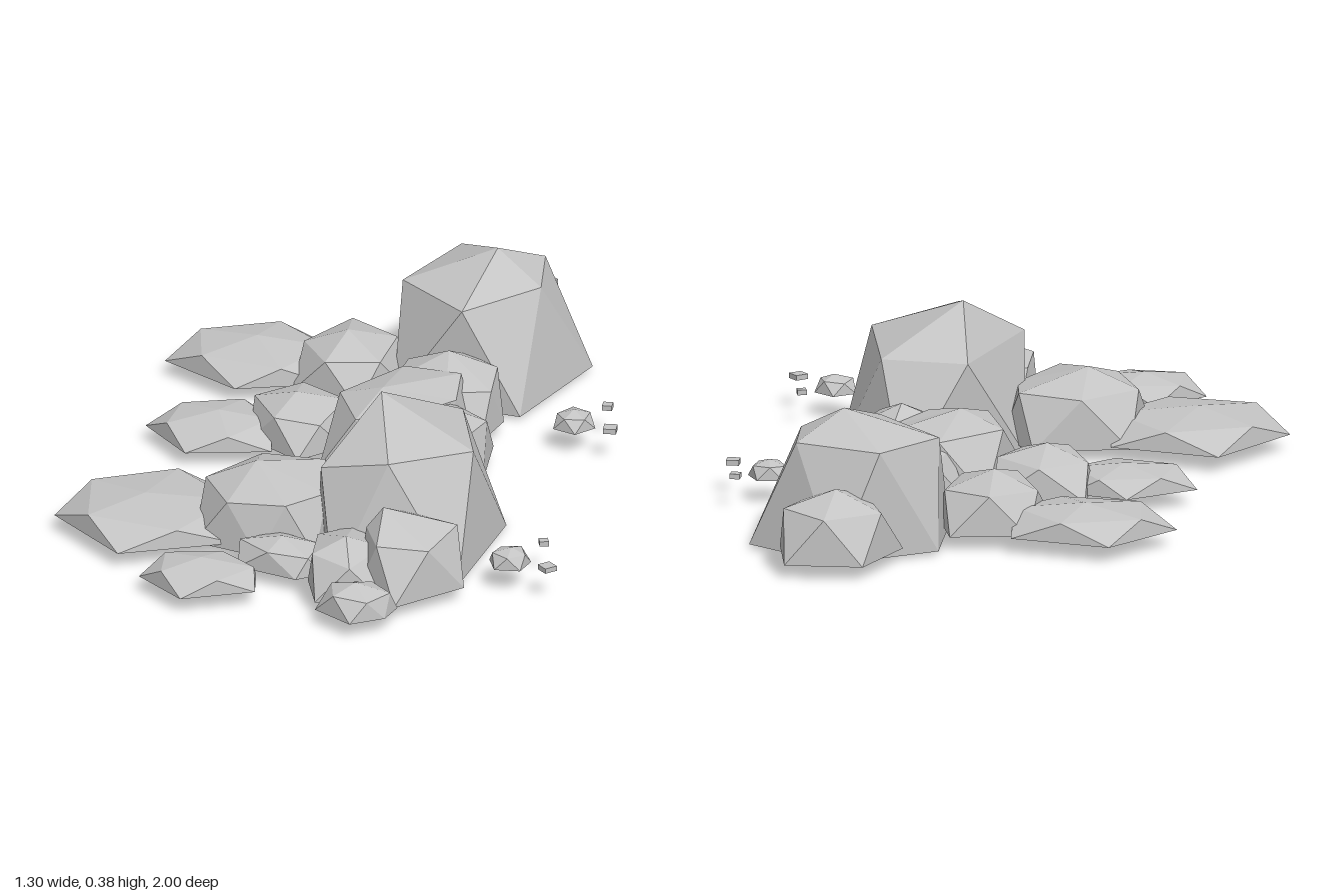
import * as THREE from 'three';

const stone = new THREE.MeshStandardMaterial({ color: 0xc4c4c4, side: THREE.DoubleSide });
stone.name = 'light grey stone';

// Shoulder ring: one point above the middle of each outline edge, slightly uneven in height
function shoulderRing(outline, y0, top, height) {
  const n = outline.length;
  const cx = outline.reduce((s, p) => s + p[0], 0) / n;
  const cz = outline.reduce((s, p) => s + p[1], 0) / n;
  return outline.map(([x, z], i) => {
    const [nx, nz] = outline[(i + 1) % n];
    const rise = height + 0.05 * Math.sin(i * 2.4);
    return [cx + ((x + nx) / 2 - cx) * 0.97, y0 + (top - y0) * rise, cz + ((z + nz) / 2 - cz) * 0.97];
  });
}

// Open-bottomed faceted rock: ground outline [x, z] running from +x towards +z, a shoulder ring and a peak.
function rock(name, { y0 = 0.035, top, peak, height = 0.7, outline, shoulders = shoulderRing(outline, y0, top, height) }) {
  const n = outline.length;
  const base = outline.map(([x, z]) => new THREE.Vector3(x, y0, z));
  const upper = shoulders.map((p) => new THREE.Vector3(...p));
  const tip = new THREE.Vector3(peak[0], top, peak[1]);
  const points = [];
  for (let i = 0; i < n; i++) {
    const j = (i + 1) % n;
    points.push(base[i], upper[i], base[j], base[j], upper[i], upper[j], upper[i], tip, upper[j]);
  }
  const geometry = new THREE.BufferGeometry().setFromPoints(points);
  geometry.computeVertexNormals();
  const mesh = new THREE.Mesh(geometry, stone);
  mesh.name = name;
  return mesh;
}

// Regular five-sided outline for small stones
function pentagon(x, z, r, turn) {
  return Array.from({ length: 5 }, (_, i) => {
    const a = turn + (i / 5) * Math.PI * 2;
    return [x + r * Math.cos(a), z + r * Math.sin(a)];
  });
}

const rocks = {
  // Main ridge, front to back
  frontTipRock: { y0: 0.04, top: 0.115, peak: [0.18, 0.91], outline: [[0.14, 0.81], [0.28, 0.88], [0.26, 0.95], [0.18, 1.0], [0.08, 0.925]] },
  frontLowRock: { top: 0.17, peak: [0.13, 0.76], outline: [[0.05, 0.59], [0.2, 0.61], [0.24, 0.84], [0.07, 0.87], [0.03, 0.74]] },
  frontSideRock: {
    top: 0.22, peak: [0.21, 0.68], height: 0.72,
    outline: [[0.17, 0.59], [0.37, 0.58], [0.42, 0.72], [0.27, 0.87], [0.16, 0.78]],
  },
  frontBoulder: {
    y0: 0, top: 0.38, peak: [0.146, 0.34],
    outline: [[0.445, 0.25], [0.39, 0.63], [0.08, 0.67], [-0.02, 0.3], [0.24, 0.02]],
    shoulders: [[0.395, 0.28, 0.44], [0.21, 0.305, 0.61], [0.03, 0.257, 0.55], [0.1, 0.267, 0.15], [0.32, 0.267, 0.16]],
  },
  middleSmallRock: { y0: 0.04, top: 0.12, peak: [0.07, 0.11], outline: pentagon(0.07, 0.1, 0.105, 0.4) },
  middleSideRock: { top: 0.2, peak: [0.24, 0.0], outline: [[0.345, -0.14], [0.355, 0.07], [0.27, 0.13], [0.09, 0.11], [0.15, -0.12]] },
  middleRock: {
    top: 0.21, peak: [0.08, -0.06], height: 0.8,
    outline: [[-0.02, -0.26], [0.21, -0.3], [0.29, -0.19], [0.23, -0.03], [0.12, 0.08], [-0.06, 0.06]],
  },
  ridgeRock: {
    top: 0.2, peak: [0.2, -0.33],
    outline: [[0.16, -0.45], [0.3, -0.41], [0.345, -0.29], [0.31, -0.16], [0.13, -0.17], [0.01, -0.32]],
  },
  backBoulder: {
    y0: 0.01, top: 0.35, peak: [0.27, -0.635],
    outline: [[0.495, -0.715], [0.37, -0.38], [0.04, -0.44], [0.02, -0.7], [0.25, -0.87]],
    shoulders: [[0.39, 0.28, -0.57], [0.22, 0.275, -0.4], [0.04, 0.27, -0.58], [0.15, 0.28, -0.8], [0.37, 0.285, -0.75]],
  },
  backRock: { top: 0.2, peak: [0.25, -0.86], outline: [[0.16, -0.985], [0.355, -1.0], [0.4, -0.81], [0.3, -0.68], [0.095, -0.78]] },
  // Stepped rocks beside the ridge
  frontStep: {
    y0: 0.03, top: 0.205, peak: [-0.155, 0.42], height: 0.72,
    outline: [[-0.285, 0.29], [-0.05, 0.23], [0.05, 0.34], [0.02, 0.58], [-0.12, 0.61], [-0.29, 0.55]],
  },
  frontLowStep: { top: 0.11, peak: [-0.05, 0.65], outline: [[-0.17, 0.58], [0.03, 0.57], [0.06, 0.7], [0, 0.745], [-0.155, 0.69]] },
  middleStep: { top: 0.15, peak: [-0.15, -0.13], outline: [[-0.27, -0.26], [-0.04, -0.28], [-0.02, -0.07], [-0.12, 0.03], [-0.26, -0.08]] },
  backStep: { top: 0.17, peak: [-0.08, -0.48], outline: [[0.07, -0.45], [-0.03, -0.31], [-0.205, -0.385], [-0.19, -0.61], [0, -0.655]] },
  // Low flat slabs on the outer side
  frontSlab: { y0: 0.04, top: 0.11, peak: [-0.43, 0.45], outline: [[-0.52, 0.215], [-0.24, 0.265], [-0.18, 0.56], [-0.46, 0.675], [-0.655, 0.47]] },
  frontSmallSlab: { y0: 0.04, top: 0.1, peak: [-0.23, 0.79], outline: [[-0.28, 0.665], [-0.1, 0.74], [-0.085, 0.845], [-0.26, 0.92], [-0.385, 0.8]] },
  middleSlab: { y0: 0.04, top: 0.1, peak: [-0.34, -0.1], outline: [[-0.37, -0.235], [-0.22, -0.2], [-0.19, 0.0], [-0.4, 0.045], [-0.525, -0.105]] },
  backSlab: { y0: 0.04, top: 0.11, peak: [-0.32, -0.54], outline: [[-0.41, -0.705], [-0.155, -0.66], [-0.12, -0.43], [-0.345, -0.36], [-0.545, -0.5]] },
  // Loose stones
  frontPebble: { y0: 0.06, top: 0.105, peak: [0.52, 0.61], outline: pentagon(0.515, 0.61, 0.055, 0.9) },
  backPebble: { y0: 0.06, top: 0.105, peak: [0.53, -0.24], outline: pentagon(0.53, -0.24, 0.055, 0.1) },
};

export function createModel() {
  const group = new THREE.Group();
  group.name = 'rockFormation';
  for (const [name, options] of Object.entries(rocks)) group.add(rock(name, options));

  // Tiny flat chips next to the pebbles: x, z, size, turn
  const chips = [
    [0.6, -0.325, 0.025, 0], [0.63, -0.19, 0.033, 0.05],
    [0.585, 0.515, 0.023, 0.3], [0.62, 0.665, 0.034, 0.75],
  ];
  for (const [x, z, size, turn] of chips) {
    const chip = new THREE.Mesh(new THREE.BoxGeometry(size, 0.013, size), stone);
    chip.position.set(x, 0.081, z);
    chip.rotation.y = turn;
    chip.name = 'stoneChip';
    group.add(chip);
  }
  return group;
}
